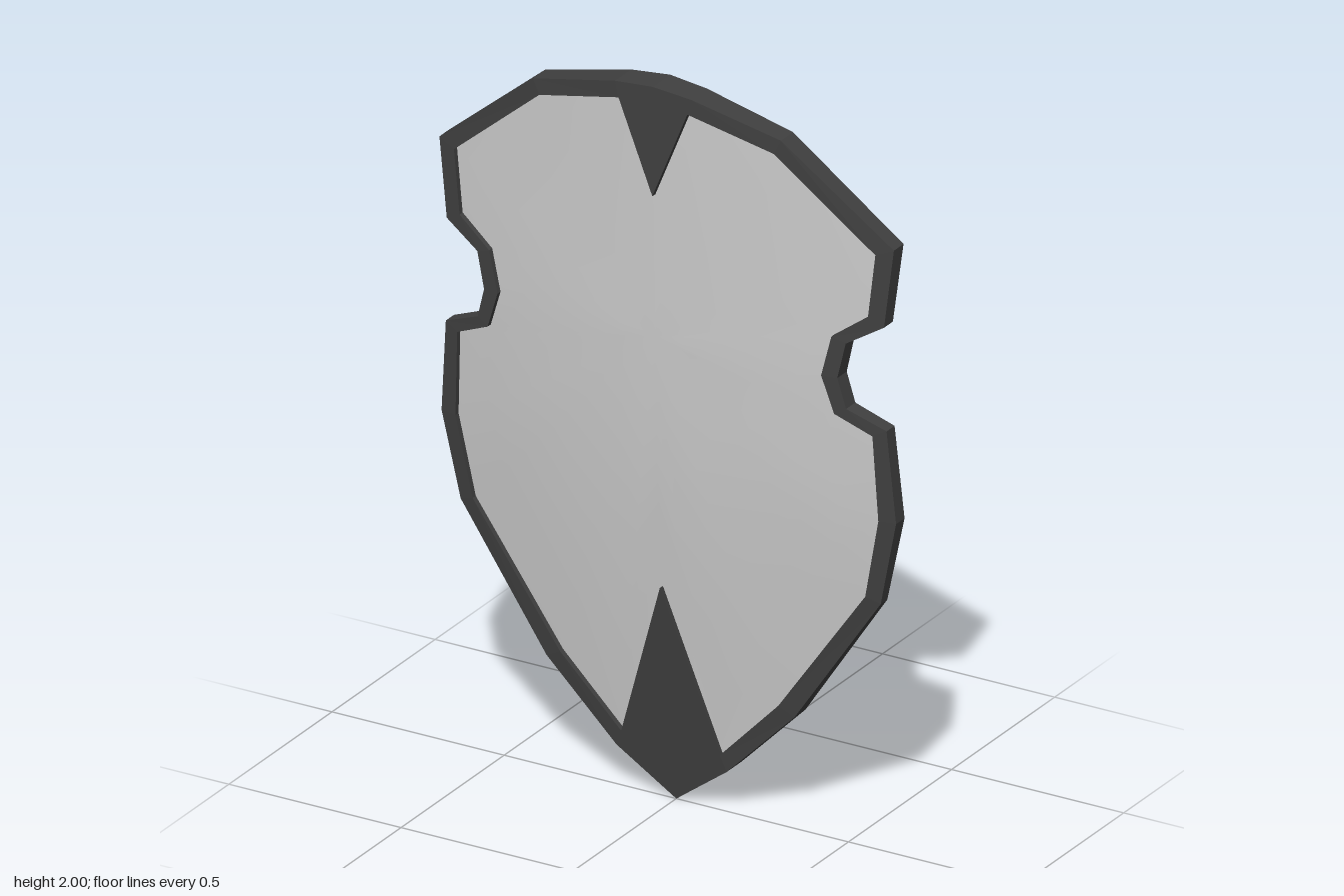
import * as THREE from 'three';
import { mergeVertices } from 'three/addons/utils/BufferGeometryUtils.js';

// Right half outlines, top to bottom: outer rim [x, y, back z] and panel opening [x, y]
const OUTER = [
  [0, 2, 0.03], [0.11, 1.99, 0.035], [0.36, 1.93, 0.035], [0.66, 1.68, 0], [0.635, 1.465, 0.01],
  [0.535, 1.405, 0.03], [0.513, 1.307, 0.03], [0.535, 1.225, 0.025], [0.64, 1.18, 0.01],
  [0.66, 0.925, -0.005], [0.61, 0.69, -0.005], [0.36, 0.32, -0.025], [0.16, 0.12, -0.05], [0, 0, -0.115],
];
const INNER = [
  [0, 1.7], [0.1, 1.947], [0.34, 1.89], [0.612, 1.66], [0.593, 1.487], [0.497, 1.418], [0.47, 1.307],
  [0.503, 1.206], [0.603, 1.16], [0.614, 0.925], [0.57, 0.704], [0.317, 0.344], [0.143, 0.164], [0, 0.61],
];
const HUB_Y = 1.31;
const RECESS = 0.015;

// Height of the domed front: a profile up the middle, falling away to the sides
const PROFILE = [[0, 0], [0.1, 0.025], [0.61, 0.08], [0.95, 0.108], [1.3, 0.118], [2, 0.115]];
function frontZ(x, y) {
  let k = 0;
  while (k < PROFILE.length - 2 && y > PROFILE[k + 1][0]) k++;
  const [y0, z0] = PROFILE[k], [y1, z1] = PROFILE[k + 1];
  return z0 + (z1 - z0) * (y - y0) / (y1 - y0) - 0.16 * x * x;
}

// Full closed loop from a half outline
function mirror(half) {
  const left = half.slice(1, -1).reverse().map(([x, ...rest]) => [-x, ...rest]);
  return [...half, ...left];
}

// Skin a series of loops with equal point counts
function loft(rings) {
  const pos = [];
  const a = new THREE.Vector3(), b = new THREE.Vector3(), c = new THREE.Vector3();
  const tri = (p, q, r) => {
    a.fromArray(p); b.fromArray(q).sub(a); c.fromArray(r).sub(a);
    if (b.cross(c).length() > 1e-8) pos.push(...p, ...q, ...r);
  };
  for (let k = 0; k < rings.length - 1; k++) {
    const A = rings[k], B = rings[k + 1];
    for (let i = 0; i < A.length; i++) {
      const j = (i + 1) % A.length;
      tri(A[i], B[i], B[j]);
      tri(A[i], B[j], A[j]);
    }
  }
  const geo = new THREE.BufferGeometry();
  geo.setAttribute('position', new THREE.Float32BufferAttribute(pos, 3));
  return geo;
}

export function createModel() {
  const group = new THREE.Group();
  group.name = 'shield';

  const back = mirror(OUTER);
  const rimOuter = back.map(([x, y]) => [x, y, frontZ(x, y)]);
  const opening = mirror(INNER);
  const rimInner = opening.map(([x, y]) => [x, y, frontZ(x, y)]);
  const floor = rimInner.map(([x, y, z]) => [x, y, z - RECESS - 0.005]);

  // Body: flat back meeting at a ridge, side wall, front rim with points, inner step
  const hub = back.map((p, i) => (i >= 10 && i <= 12 ? back[10] : [0, HUB_Y, -0.02]));
  const bodyGeo = loft([hub, back, rimOuter, rimInner, floor]);
  bodyGeo.computeVertexNormals();
  const body = new THREE.Mesh(bodyGeo, new THREE.MeshStandardMaterial({ color: 0x404040, flatShading: true }));
  body.name = 'rimAndBack';
  group.add(body);

  // Panel: smooth domed face set slightly below the rim
  const rings = [];
  const steps = 6;
  for (let s = steps; s >= 0; s--) {
    const t = s / steps;
    rings.push(opening.map(([x, y]) => {
      const px = x * t, py = HUB_Y + (y - HUB_Y) * t;
      return [px, py, frontZ(px, py) - RECESS];
    }));
  }
  const panelGeo = mergeVertices(loft(rings));
  panelGeo.computeVertexNormals();
  const panel = new THREE.Mesh(panelGeo, new THREE.MeshStandardMaterial({ color: 0xcccccc }));
  panel.name = 'frontPanel';
  group.add(panel);

  return group;
}
